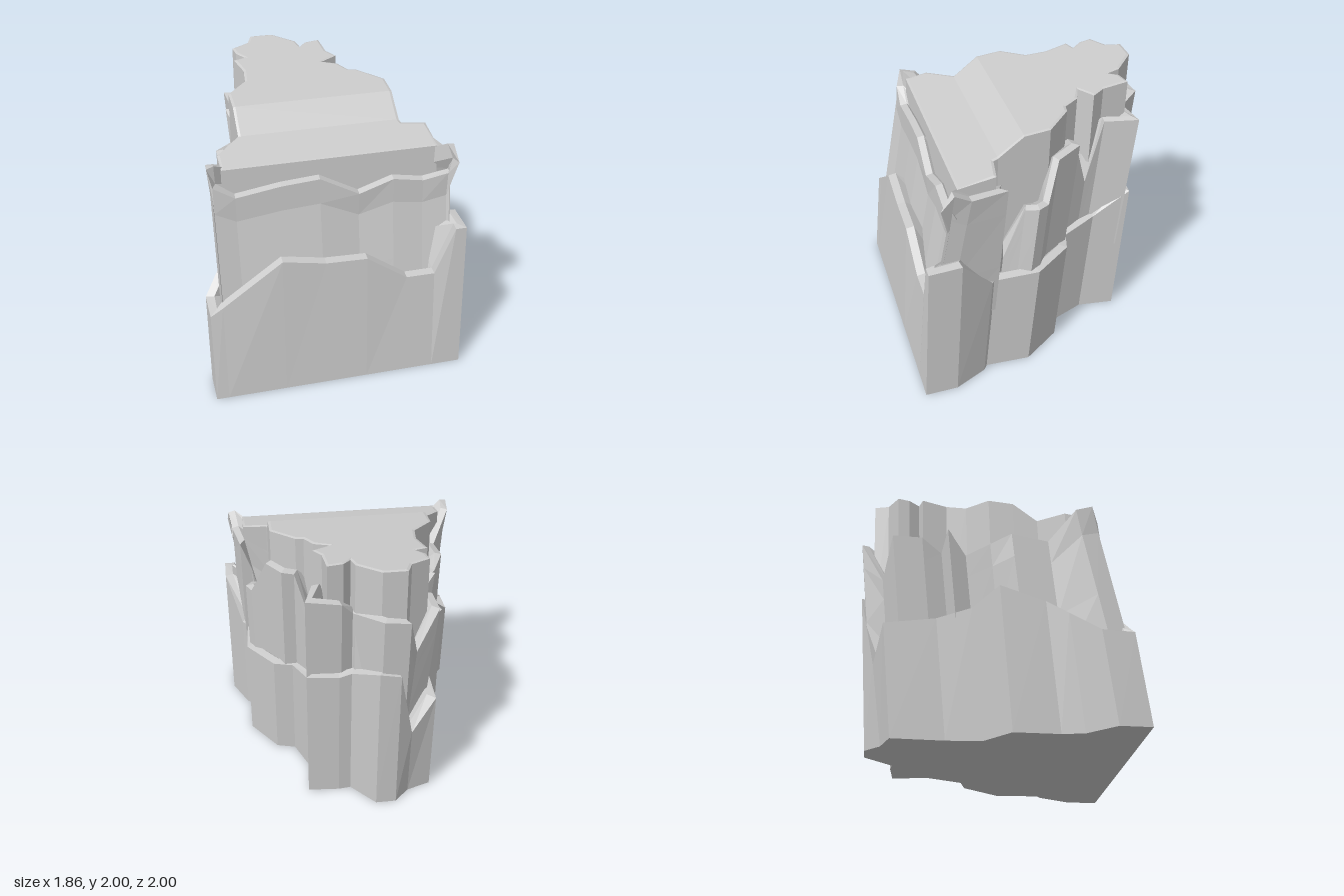
import * as THREE from 'three';

const rock = new THREE.MeshStandardMaterial({ color: 0xcccccc, flatShading: true, side: THREE.DoubleSide });

// Outlines run along the front, up the left side, round the back and down the right side.
// Lower shell: x and z at the ground, height of the rim
const lower = [
  [-.93, 1, .69], [-.84, 1, .75], [-.41, 1, 1.07], [-.1, 1, 1.01], [.2, 1, 1], [.5, 1, .79], [.71, 1, .79],
  [.85, 1, 1.15], [.93, 1, 1.15], [.93, .76, 1.16], [.82, .52, .86], [.78, .49, .84], [.8, .16, .85],
  [.61, -.12, .86], [.47, -.16, .86], [.37, -.42, .9], [.41, -.69, 1.11], [.18, -.71, 1.1], [.09, -.7, 1.12],
  [-.08, -.9, 1.23], [-.23, -.9, 1.2], [-.34, -.79, .62], [-.52, -.73, .87], [-.51, -.35, .93],
  [-.53, -.09, 1.02], [-.73, .09, 1.11], [-.73, .42, 1], [-.76, .58, .9], [-.93, .77, .7],
];
// Middle shell: x and z at the rim, height of the rim
const middle = [
  [-.84, .72, 1.6], [-.69, .73, 1.51], [-.37, .73, 1.56], [-.1, .73, 1.58], [.18, .74, 1.43], [.43, .73, 1.51],
  [.65, .73, 1.47], [.83, .74, 1.51], [.88, .8, 1.62], [.87, .7, 1.72], [.85, .58, 1.64], [.8, .31, 1.63],
  [.72, .33, 1.4], [.68, .32, .95], [.73, .17, 1.38], [.78, .08, 1.4], [.74, 0, 1.4], [.63, -.11, 1.68],
  [.53, -.3, 1.7], [.44, -.3, 1.68], [.36, -.42, 1.24], [.34, -.56, 1.73], [.41, -.8, 1.74], [.16, -.8, 1.7],
  [.08, -.75, 1.6], [-.1, -1, 1.66], [-.28, -1, 1.64], [-.36, -.83, 1.3], [-.52, -.77, 1.6], [-.51, -.55, 1.6],
  [-.46, -.4, 1.5], [-.57, -.36, 1.65], [-.5, -.22, 1.47], [-.64, -.05, 1.5], [-.72, .1, 1.55],
  [-.72, .37, 1.5], [-.86, .56, 1.7], [-.87, .68, 1.73],
];
// Core plateau: x and z of the top surface
const plateau = [
  [-.75, .64], [.75, .64], [.75, .4], [.58, .37], [.57, .32], [.57, .13], [.57, -.05], [.41, -.22], [.35, -.23],
  [.29, -.34], [.17, -.4], [.3, -.48], [.25, -.56], [.24, -.74], [.15, -.72], [.08, -.65], [.05, -.76],
  [-.1, -.9], [-.25, -.9], [-.29, -.8], [-.42, -.73], [-.41, -.66], [-.35, -.57], [-.44, -.54], [-.4, -.37],
  [-.42, -.21], [-.57, -.05], [-.57, .13], [-.57, .32], [-.75, .5],
];

// Moves a ring of [x, y, z] points outward (or inward when d is negative)
function offset(ring, d, dy) {
  const n = ring.length;
  const normal = (a, b) => new THREE.Vector2(a[2] - b[2], b[0] - a[0]).normalize();
  return ring.map((p, i) => {
    const m = normal(ring[(i + n - 1) % n], p);
    const k = normal(p, ring[(i + 1) % n]);
    const s = m.clone().add(k).normalize();
    const w = d / Math.max(s.dot(k), 0.75);
    return [p[0] + s.x * w, p[1] + dy, p[2] + s.y * w];
  });
}

// Runs a ledge on into the rock behind it
const tuckIn = ring => ring.map(([x, y, z]) => [x * .75, y - .12, z * .8]);

function mesh(name, triangles) {
  const g = new THREE.BufferGeometry();
  g.setAttribute('position', new THREE.Float32BufferAttribute(triangles.flat(), 3));
  g.computeVertexNormals();
  const m = new THREE.Mesh(g, rock);
  m.name = name;
  return m;
}

// Skins consecutive closed rings with quads
function loft(name, rings) {
  const out = [];
  for (let r = 0; r + 1 < rings.length; r++) {
    const a = rings[r], b = rings[r + 1], n = a.length;
    for (let i = 0; i < n; i++) {
      const j = (i + 1) % n;
      out.push(a[i], a[j], b[j], a[i], b[j], b[i]);
    }
  }
  return mesh(name, out);
}

// Fills a ring with triangles
function cap(name, ring, down = false) {
  const faces = THREE.ShapeUtils.triangulateShape(ring.map(p => new THREE.Vector2(p[0], -p[2])), []);
  return mesh(name, faces.flatMap(([a, b, c]) => (down ? [c, b, a] : [a, b, c]).map(i => ring[i])));
}

// Height of the plateau: gentle front shelf, ramp, then a slow rise to the back
function plateauHeight(z) {
  if (z > .32) return 1.7 + (.64 - z) / .32 * .06;
  if (z > .13) return 1.76 + (.32 - z) / .19 * .14;
  return 1.9 + (.13 - z) / 1.03 * .1;
}

// Middle wall at a fraction t of its height: concave front, fins on the right taper in below
function middleRow(t) {
  return middle.map(([x, z, y]) => {
    const taper = x < -.3 && z < 0 ? .2 : .02;
    const lean = z > .5 ? .2 : .1;
    return [
      THREE.MathUtils.clamp(x, -.845, .845) * (1 - taper * (1 - t)),
      y * t,
      Math.min(z, .7) + (1 - t) * y * lean,
    ];
  });
}

export function createModel() {
  const group = new THREE.Group();
  group.name = 'rockCliff';

  // Lower shell leans back towards its rim and ends in a narrow ledge
  const ground = lower.map(([x, z]) => [x, 0, z]);
  const lowRim = lower.map(([x, z, y]) => [x, y, z - .08]);
  const lowLedge = offset(lowRim, -.06, .01);
  group.add(loft('lowerCliff', [ground, lowRim, lowLedge, tuckIn(lowLedge)]));
  group.add(cap('underside', ground, true));

  // Middle shell rises out of the lower one and flares at the corner spikes
  const midRim = middle.map(([x, z, y]) => [x, y, z]);
  const midLedge = offset(midRim, -.05, .01);
  const midWall = [.35, .6, .88].map(middleRow);
  group.add(loft('middleCliff', [...midWall, midRim, midLedge, tuckIn(midLedge)]));

  // Core column with a thin bevelled lip
  const top = plateau.map(([x, z]) => [x, plateauHeight(z), z]);
  const lip = offset(top, .018, -.005);
  const foot = lip.map(([x, , z]) => [x, 1.05, z + .03]);
  group.add(loft('coreCliff', [foot, lip, top]));

  // Plateau split along its two folds
  const n = top.length;
  group.add(cap('frontShelf', [...top.slice(0, 5), top[n - 2], top[n - 1]]));
  group.add(cap('ramp', [top[4], top[5], top[n - 3], top[n - 2]]));
  group.add(cap('plateau', top.slice(5, n - 2)));
  return group;
}
